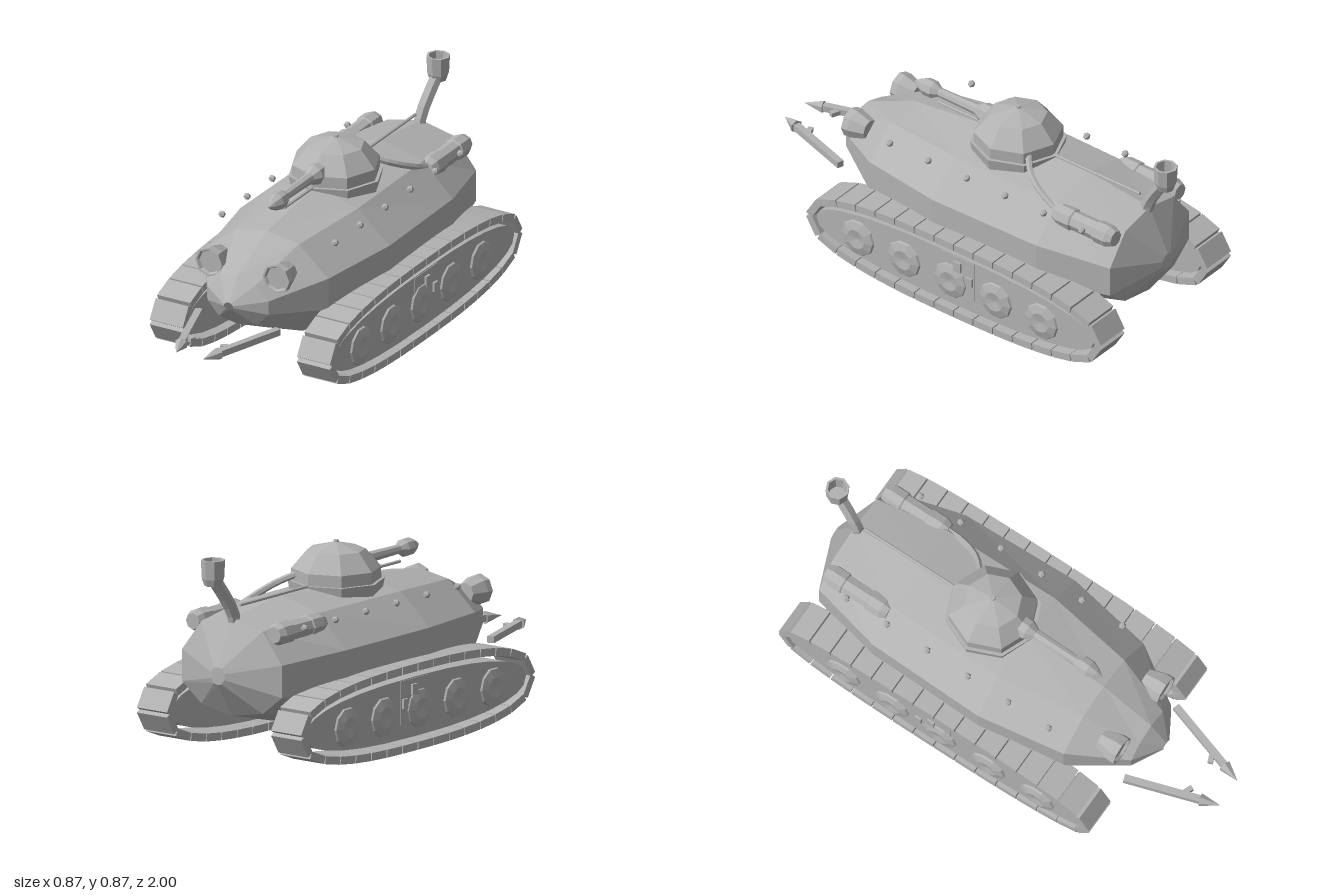
import * as THREE from 'three';

const grey = new THREE.MeshStandardMaterial({ color: 0xb2b2b2, flatShading: true });
grey.name = 'plain grey';

const V = (x, y, z) => new THREE.Vector3(x, y, z);

function add(parent, name, geometry, x = 0, y = 0, z = 0) {
  const mesh = new THREE.Mesh(geometry, grey);
  mesh.name = name;
  mesh.position.set(x, y, z);
  parent.add(mesh);
  return mesh;
}

// Turned part: pairs of radius and height, standing along +y
function lathe(profile, sides) {
  return new THREE.LatheGeometry(profile.map(([r, h]) => new THREE.Vector2(r, h)), sides);
}

function tube(points, radius, steps, sides) {
  return new THREE.TubeGeometry(new THREE.CatmullRomCurve3(points), steps, radius, sides);
}

// Hull stations: z, then x/y from the top ridge down one side to the keel
const stations = [
  [0.69, 0, 0.417, 0.012, 0.413, 0.022, 0.404, 0.022, 0.396, 0.012, 0.387, 0, 0.383],
  [0.615, 0, 0.51, 0.085, 0.485, 0.145, 0.425, 0.145, 0.365, 0.09, 0.305, 0, 0.29],
  [0.38, 0, 0.615, 0.15, 0.59, 0.29, 0.468, 0.29, 0.33, 0.17, 0.205, 0, 0.18],
  [0, 0, 0.66, 0.205, 0.613, 0.355, 0.48, 0.355, 0.31, 0.22, 0.18, 0, 0.13],
  [-0.53, 0, 0.66, 0.2, 0.613, 0.34, 0.475, 0.34, 0.31, 0.22, 0.18, 0, 0.13],
  [-0.85, 0, 0.62, 0.16, 0.585, 0.26, 0.455, 0.26, 0.32, 0.16, 0.24, 0, 0.21],
  [-0.945, 0, 0.43, 0.02, 0.425, 0.035, 0.405, 0.035, 0.38, 0.02, 0.36, 0, 0.355],
];

function hullGeometry() {
  const positions = [], index = [], n = 10;
  for (const [z, ...p] of stations) {
    for (let j = 0; j < n; j++) {
      const k = j <= 5 ? j : n - j;
      positions.push(j <= 5 ? p[2 * k] : -p[2 * k], p[2 * k + 1], z);
    }
  }
  const last = stations.length - 1;
  for (let i = 0; i < last; i++) {
    for (let j = 0; j < n; j++) {
      const a = i * n + j, b = i * n + (j + 1) % n;
      index.push(a, b, b + n, a, b + n, a + n);
    }
  }
  // Tail cap; the nose keeps its small opening
  for (let j = 1; j < n - 1; j++) index.push(last * n, last * n + j, last * n + j + 1);
  const g = new THREE.BufferGeometry();
  g.setAttribute('position', new THREE.Float32BufferAttribute(positions, 3));
  g.setIndex(index);
  g.computeVertexNormals();
  return g;
}

// Rounded oval in (z, y) used by the track and its side plate
function oval(halfLength, halfHeight, power, count) {
  const pts = [];
  for (let i = 0; i < count; i++) {
    const t = (i / count) * Math.PI * 2, c = Math.cos(t), s = Math.sin(t);
    pts.push(new THREE.Vector2(
      -0.168 + halfLength * Math.sign(c) * Math.abs(c) ** (2 / power),
      0.19 + halfHeight * Math.sign(s) * Math.abs(s) ** (2 / power)));
  }
  return pts;
}

function buildTrack(s) {
  const track = new THREE.Group();
  track.name = s > 0 ? 'leftTrack' : 'rightTrack';

  // Links laid around the oval
  const path = new THREE.CatmullRomCurve3(oval(0.755, 0.165, 2.6, 48).map(p => V(0, p.y, p.x)), true);
  const count = 32, pts = path.getSpacedPoints(count);
  for (let i = 0; i < count; i++) {
    const a = pts[i], b = pts[i + 1], m = a.clone().add(b).multiplyScalar(0.5);
    const link = add(track, 'trackLink', new THREE.BoxGeometry(0.157, 0.033, a.distanceTo(b) * 0.95), s * 0.35, m.y, m.z);
    link.rotation.x = -Math.atan2(b.y - a.y, b.z - a.z);
  }

  // Side plate filling the loop
  const plate = new THREE.ExtrudeGeometry(new THREE.Shape(oval(0.722, 0.125, 2.4, 28)), { depth: 0.134, bevelEnabled: false });
  plate.translate(0, 0, -0.067);
  plate.rotateY(-Math.PI / 2);
  add(track, 'trackFrame', plate, s * 0.35);

  // Road wheels
  const wheel = lathe([[0.085, 0], [0.08, 0.01], [0.045, 0.02], [0, 0.012]], 10);
  wheel.rotateZ(-s * Math.PI / 2);
  for (const z of [0.337, 0.096, -0.145, -0.38, -0.62]) add(track, 'roadWheel', wheel, s * 0.415, 0.18, z);

  // Side hatch with its small tabs
  add(track, 'sideHatch', new THREE.BoxGeometry(0.02, 0.185, 0.18), s * 0.41, 0.218, -0.18);
  add(track, 'hatchTab', new THREE.BoxGeometry(0.03, 0.045, 0.035), s * 0.415, 0.265, -0.185);
  add(track, 'hatchTab', new THREE.BoxGeometry(0.03, 0.04, 0.03), s * 0.415, 0.215, -0.247);
  return track;
}

// Parts that repeat on each side of the hull
function buildSide(s) {
  const side = new THREE.Group();
  side.name = s > 0 ? 'leftFittings' : 'rightFittings';

  // Headlamp with a recessed face
  const lamp = lathe([[0, 0], [0.042, 0], [0.064, 0.07], [0.064, 0.1], [0.056, 0.1], [0.05, 0.088], [0, 0.088]], 8);
  lamp.rotateX(Math.PI / 2);
  add(side, 'headlamp', lamp, s * 0.16, 0.515, 0.48);

  // Rivets
  for (let i = 0; i < 6; i++) {
    add(side, 'rivet', new THREE.IcosahedronGeometry(0.016, 0), s * 0.269, 0.59, 0.29 - i * 0.2);
  }

  // Rear canister
  const tank = lathe([[0, 0], [0.035, 0], [0.048, 0.03], [0.048, 0.09], [0.042, 0.095], [0.042, 0.21],
    [0.048, 0.215], [0.048, 0.28], [0.035, 0.31], [0, 0.31]], 8);
  tank.rotateX(Math.PI / 2);
  add(side, 'canister', tank, s * 0.212, 0.575, -0.842);

  // Front spear, angled inward
  const spear = new THREE.Group();
  spear.name = 'frontSpear';
  spear.position.set(s * 0.188, 0.3, 0.61);
  spear.rotation.y = -s * 0.31;
  add(spear, 'spearShaft', new THREE.BoxGeometry(0.03, 0.028, 0.33), 0, 0, 0.165);
  const tip = new THREE.ConeGeometry(0.028, 0.085, 6);
  tip.rotateX(Math.PI / 2);
  add(spear, 'spearTip', tip, 0, 0, 0.366);
  const barb = add(spear, 'spearBarb', new THREE.BoxGeometry(0.04, 0.02, 0.022), -s * 0.025, 0, 0.265);
  barb.rotation.y = s * 0.7;
  side.add(spear);
  return side;
}

export function createModel() {
  const model = new THREE.Group();
  model.name = 'tank';
  add(model, 'hull', hullGeometry());

  // Turret dome on a flared ring
  add(model, 'turretRing', lathe([[0.188, 0.6], [0.2, 0.666], [0.183, 0.666]], 8), 0, 0, -0.167);
  add(model, 'turret', lathe([[0.186, 0.64], [0.185, 0.715], [0.12, 0.79], [0, 0.823]], 8), 0, 0, -0.167);
  add(model, 'turretKnob', new THREE.CylinderGeometry(0.01, 0.012, 0.012, 6), 0, 0.823, -0.167);

  // Gun pointing forward
  const gun = lathe([[0.045, -0.04], [0.045, 0.01], [0.024, 0.045], [0.02, 0.24], [0.038, 0.27],
    [0.038, 0.31], [0.022, 0.345], [0, 0.375]], 8);
  gun.rotateX(Math.PI / 2);
  add(model, 'gun', gun, 0, 0.717, 0);

  // Long rod along the ridge
  const rod = new THREE.CylinderGeometry(0.007, 0.007, 1.05, 6);
  rod.rotateX(Math.PI / 2);
  add(model, 'ridgeRod', rod, 0, 0.665, -0.275);

  // Exhaust pipe and cup
  add(model, 'exhaustPipe', tube([V(0, 0.54, -0.82), V(0, 0.64, -0.845), V(0.01, 0.72, -0.89), V(0.02, 0.79, -0.94)], 0.028, 6, 6));
  add(model, 'exhaustCup', lathe([[0, 0.77], [0.035, 0.77], [0.046, 0.8], [0.05, 0.878], [0.04, 0.878],
    [0.036, 0.8], [0, 0.8]], 8), 0.02, 0, -0.95);

  // Hose from turret to canister
  add(model, 'hose', tube([V(0.212, 0.585, -0.54), V(0.2, 0.615, -0.46), V(0.16, 0.66, -0.36), V(0.09, 0.7, -0.29)], 0.014, 8, 6));

  for (const s of [1, -1]) model.add(buildTrack(s), buildSide(s));
  return model;
}
